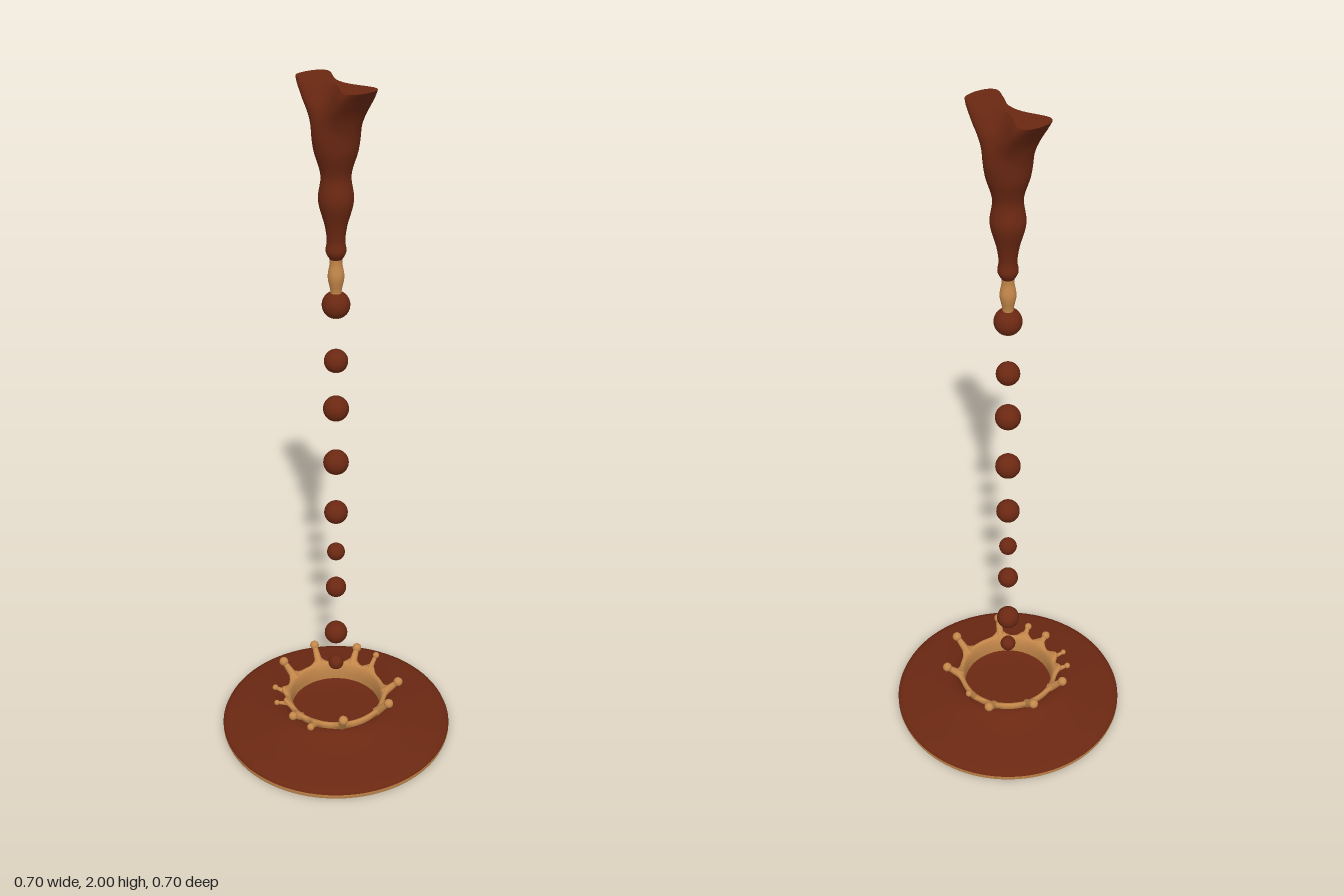
import * as THREE from 'three';

const brown = new THREE.MeshStandardMaterial({ color: 0x6b2812 });
brown.name = 'chocolate brown';
const tan = new THREE.MeshStandardMaterial({ color: 0xc4874a });
tan.name = 'caramel tan';

function add(parent, name, geometry, material) {
  const mesh = new THREE.Mesh(geometry, material);
  mesh.name = name;
  parent.add(mesh);
  return mesh;
}

// Surface closed around the y axis; point(angle, j) gives [x, y, z] on ring j
function ringSurface(sides, rings, point) {
  const positions = [], index = [];
  for (let i = 0; i < sides; i++)
    for (let j = 0; j < rings; j++) positions.push(...point((i / sides) * Math.PI * 2, j));
  for (let i = 0; i < sides; i++) {
    for (let j = 0; j < rings - 1; j++) {
      const a = i * rings + j, b = ((i + 1) % sides) * rings + j;
      index.push(a, b, a + 1, b + 1, a + 1, b);
    }
  }
  const g = new THREE.BufferGeometry();
  g.setAttribute('position', new THREE.Float32BufferAttribute(positions, 3));
  g.setIndex(index);
  g.computeVertexNormals();
  return g;
}

const lathe = (points) =>
  new THREE.LatheGeometry(points.map(([r, y]) => new THREE.Vector2(r, y)), 96);

// Pouring stream: each entry is [half width, height, half depth]
function section(w, y, d, angle) {
  const pinch = 0.105 * THREE.MathUtils.smoothstep(y, 1.88, 2);
  const s = Math.sin(angle), c = Math.cos(angle);
  return [w * s, y, c * (d + pinch * s * s)];
}

function streamPart(profile, steps) {
  const pts = new THREE.CatmullRomCurve3(profile.map((p) => new THREE.Vector3(...p))).getPoints(steps);
  return ringSurface(48, pts.length, (a, j) => section(pts[j].x, pts[j].y, pts[j].z, a));
}

function buildStream() {
  const g = new THREE.Group();
  g.name = 'stream';
  add(g, 'streamBody', streamPart([
    [0.017, 1.54, 0.017], [0.027, 1.56, 0.027], [0.024, 1.59, 0.024], [0.029, 1.63, 0.029],
    [0.046, 1.70, 0.046], [0.038, 1.765, 0.040], [0.056, 1.83, 0.057], [0.064, 1.88, 0.062],
    [0.08, 1.93, 0.052], [0.105, 1.97, 0.030], [0.127, 2, 0.012],
  ], 80), brown);
  add(g, 'streamNeck', streamPart([
    [0.016, 1.43, 0.016], [0.015, 1.45, 0.015], [0.022, 1.49, 0.022], [0.017, 1.525, 0.017], [0.017, 1.541, 0.017],
  ], 24), tan);
  // flat pinched top
  add(g, 'streamTop', ringSurface(48, 2, (a, j) => (j ? [0, 2, 0] : section(0.127, 2, 0.012, a))), brown);
  return g;
}

// Falling drops: [height, radius], each with a thin pale band low down
function buildDrops() {
  const g = new THREE.Group();
  g.name = 'drops';
  const bands = [[0, 136, brown], [136, 144, tan], [144, 180, brown]];
  for (const [y, r] of [[1.41, 0.038], [1.245, 0.033], [1.1, 0.036], [0.93, 0.036], [0.765, 0.034],
    [0.63, 0.026], [0.505, 0.03], [0.34, 0.034], [0.228, 0.023]]) {
    for (const [from, to, material] of bands) {
      const rad = THREE.MathUtils.degToRad;
      const rows = Math.max(2, Math.round((to - from) / 9));
      const geo = new THREE.SphereGeometry(r, 32, rows, 0, Math.PI * 2, rad(from), rad(to - from));
      add(g, material === tan ? 'dropBand' : 'drop', geo, material).position.y = y;
    }
  }
  return g;
}

// Crown tips: [x, y, z, ball radius]
const tips = [
  [-0.11, 0.142, -0.16, 0.014], [-0.035, 0.15, -0.18, 0.01], [0.102, 0.142, -0.162, 0.014],
  [0.18, 0.155, -0.066, 0.014], [0.164, 0.155, 0.09, 0.014], [0.1, 0.122, 0.163, 0.011],
  [0.031, 0.125, 0.18, 0.013], [-0.056, 0.118, 0.181, 0.008], [-0.113, 0.124, 0.149, 0.009],
  [-0.175, 0.152, 0.076, 0.014], [-0.19, 0.15, -0.051, 0.014],
];

// How strongly the lip is drawn out towards the nearest tip
function pull(angle) {
  let best = 0;
  for (const [x, , z] of tips) {
    const d = angle - Math.atan2(x, z);
    const turn = Math.atan2(Math.sin(d), Math.cos(d));
    best = Math.max(best, Math.exp(-((turn / 0.12) ** 2)));
  }
  return best;
}

function buildSplash() {
  const g = new THREE.Group();
  g.name = 'splash';
  add(g, 'puddleUnderside', lathe([[0, 0], [0.348, 0]]), brown);
  add(g, 'puddleRim', lathe([[0.348, 0], [0.35, 0.006], [0.35, 0.014]]), tan);
  add(g, 'puddle', lathe([[0.35, 0.014], [0.346, 0.023], [0.33, 0.029], [0.29, 0.035], [0.24, 0.043],
    [0.2, 0.052], [0.175, 0.062], [0.16, 0.074], [0.153, 0.085], [0.151, 0.094]]), brown);
  add(g, 'innerPool', lathe([[0.137, 0.056], [0.1, 0.05], [0, 0.049]]), brown);

  // wavy lip: [radius, height, outward pull, upward pull] from outside over to inside
  const lip = [[0.15, 0.09, 0, 0], [0.153, 0.1, 0.006, 0.003], [0.153, 0.108, 0.016, 0.008],
    [0.149, 0.113, 0.016, 0.012], [0.143, 0.112, 0.006, 0.006], [0.138, 0.104, 0, 0],
    [0.135, 0.08, 0, 0], [0.136, 0.054, 0, 0]];
  add(g, 'crownLip', ringSurface(160, lip.length, (a, j) => {
    const [r, y, out, up] = lip[j], w = pull(a);
    const radius = r + out * w;
    return [radius * Math.sin(a), y + up * w, radius * Math.cos(a)];
  }), tan);

  // prongs tapering out of the lip, each ending in a ball
  for (const [x, y, z, r] of tips) {
    const tip = new THREE.Vector3(x, y, z);
    const flat = Math.hypot(x, z);
    const root = new THREE.Vector3((x / flat) * 0.149, 0.104, (z / flat) * 0.149);
    const dir = tip.clone().sub(root);
    const prong = add(g, 'crownProng', new THREE.CylinderGeometry(r * 0.55, r * 0.95, dir.length(), 12, 1, true), tan);
    prong.position.copy(root).addScaledVector(dir, 0.5);
    prong.quaternion.setFromUnitVectors(new THREE.Vector3(0, 1, 0), dir.clone().normalize());
    add(g, 'crownBall', new THREE.SphereGeometry(r, 16, 12), tan).position.copy(tip);
  }
  return g;
}

export function createModel() {
  const model = new THREE.Group();
  model.name = 'pouringSplash';
  model.add(buildStream(), buildDrops(), buildSplash());
  return model;
}
